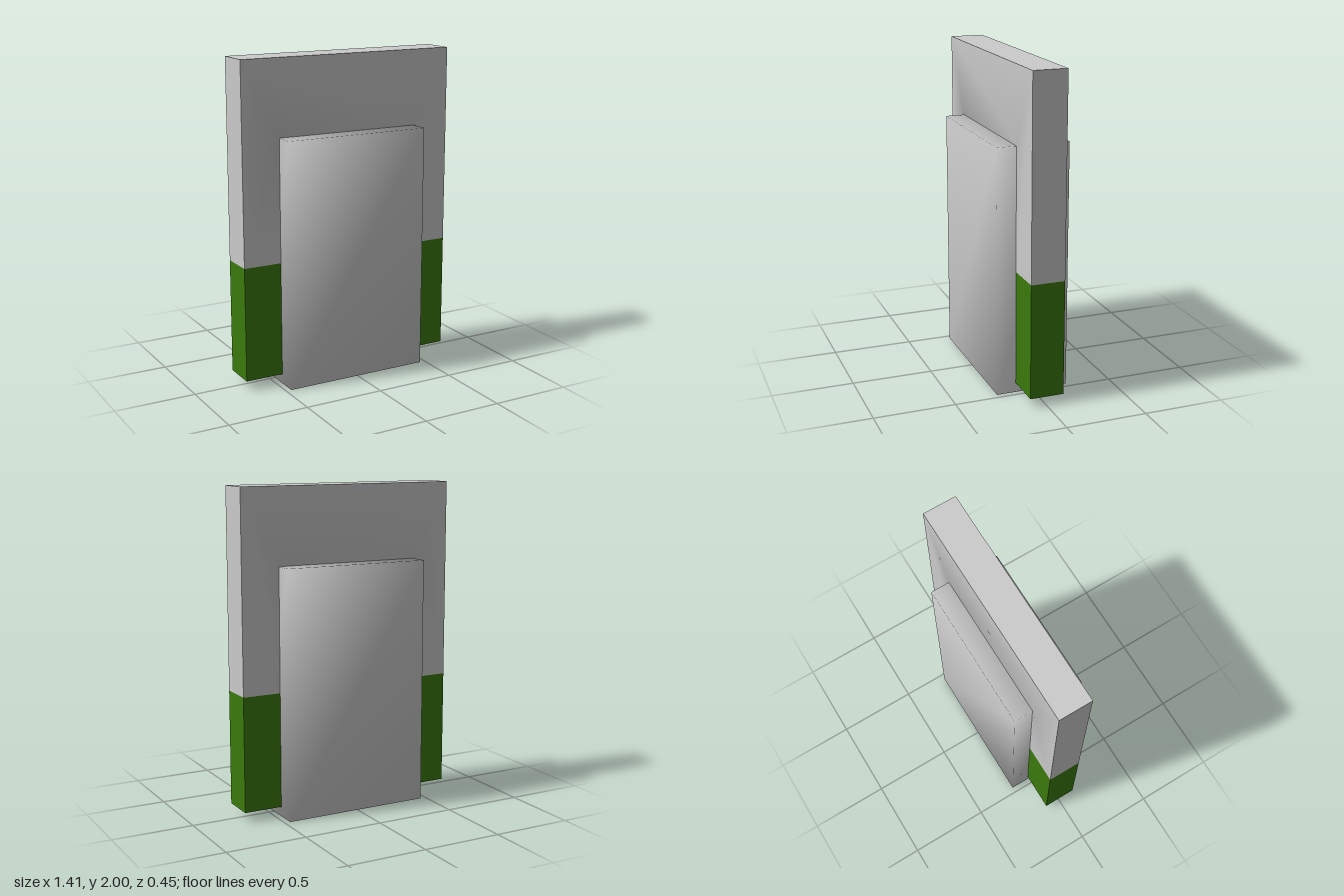
import * as THREE from 'three';
import { mergeVertices, mergeGeometries } from 'three/addons/utils/BufferGeometryUtils.js';

const W = 0.705, IN = 0.465, TOP = 2, LINTEL = 1.53, SPLIT = 0.77, FOOT = 0.06, D = 0.105;

function fromQuads(points, quads) {
  const g = new THREE.BufferGeometry();
  g.setAttribute('position', new THREE.Float32BufferAttribute(points.flat(), 3));
  g.setIndex(quads.flatMap(([a, b, c, d]) => [a, b, c, a, c, d]));
  return g;
}

// Arch-shaped upper frame: outer path and inner path, front and back
function archGeometry() {
  const path = (x, y) => [[-x, SPLIT], [-x, y], [x, y], [x, SPLIT]];
  const ring = [...path(W, TOP), ...path(IN, LINTEL)];
  const points = [D, -D].flatMap((z) => ring.map(([x, y]) => [x, y, z]));
  const soft = [], hard = [];
  for (let i = 0; i < 3; i++) {
    const o = i, n = i + 4;
    soft.push([o, n, n + 1, o + 1], [o + 8, o + 9, n + 9, n + 8]); // front and back faces
    hard.push([o, o + 1, o + 9, o + 8]); // outer walls
    (i === 1 ? soft : hard).push([n, n + 8, n + 9, n + 1]); // opening; its ceiling shades softly
  }
  const smooth = fromQuads(points, soft);
  smooth.computeVertexNormals();
  const flat = fromQuads(points, hard).toNonIndexed();
  flat.computeVertexNormals();
  return mergeGeometries([smooth.toNonIndexed(), flat]);
}

// Box whose corners share one normal, so its shading rolls over the edges
function softBox(w, h, d) {
  const box = new THREE.BoxGeometry(w, h, d);
  box.deleteAttribute('normal');
  box.deleteAttribute('uv');
  const g = mergeVertices(box);
  g.computeVertexNormals();
  return g;
}

export function createModel() {
  const model = new THREE.Group();
  const grey = new THREE.MeshStandardMaterial({ color: 0xcccccc });
  const green = new THREE.MeshStandardMaterial({ color: 0x3a7a0c });

  const add = (name, geometry, material, x = 0, y = 0) => {
    const mesh = new THREE.Mesh(geometry, material);
    mesh.name = name;
    mesh.position.set(x, y, 0);
    model.add(mesh);
  };

  add('upperFrame', archGeometry(), grey);

  // Thick slab filling the opening
  add('centrePanel', softBox(IN * 2, LINTEL, 0.45), grey, 0, LINTEL / 2);

  // Green lower ends of the frame
  for (const [name, side] of [['leftLeg', 1], ['rightLeg', -1]]) {
    add(name, new THREE.BoxGeometry(W - IN, SPLIT - FOOT, D * 2), green,
      side * (W + IN) / 2, (SPLIT + FOOT) / 2);
  }
  return model;
}
